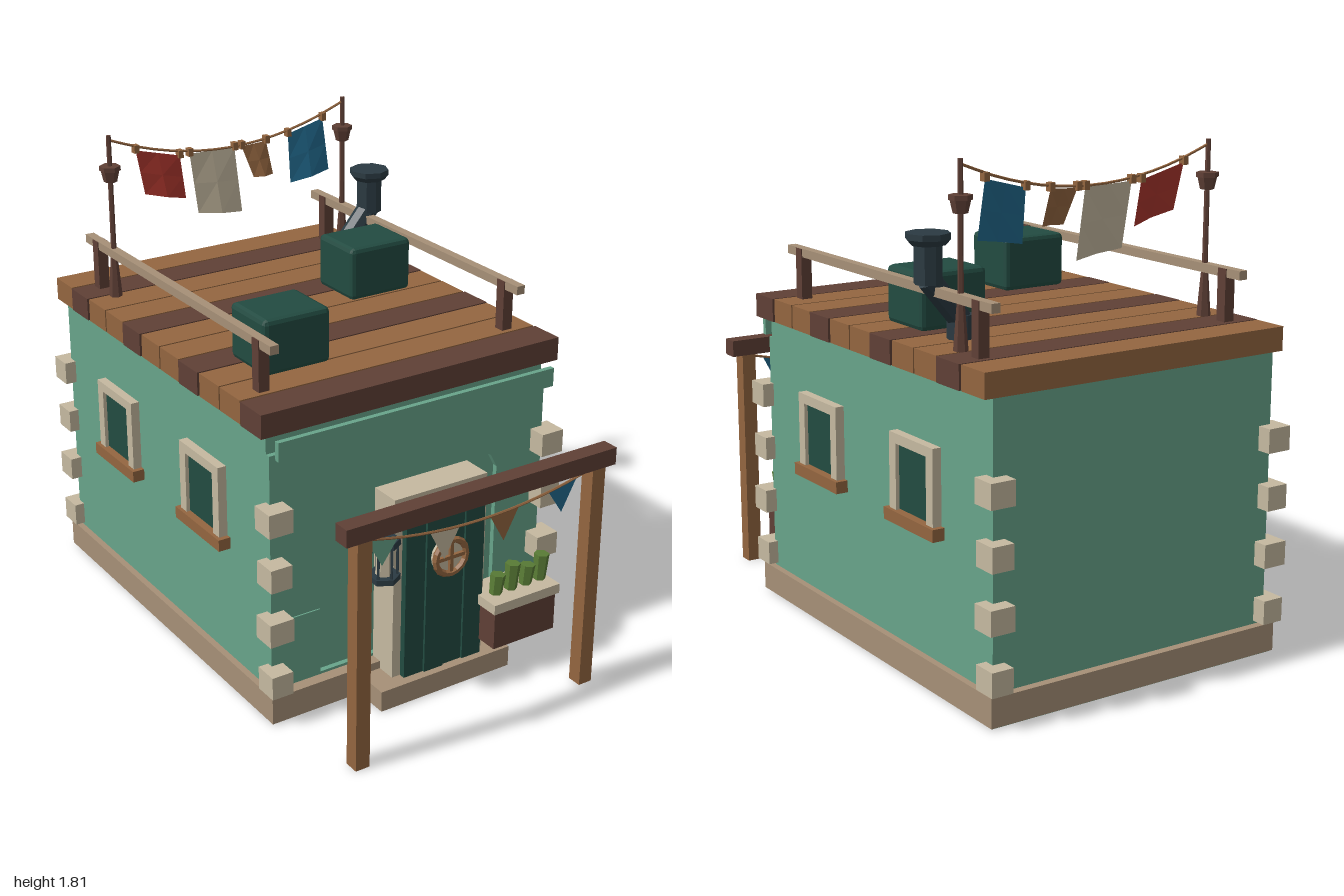
import * as THREE from 'three';
import { RoundedBoxGeometry } from 'three/addons/geometries/RoundedBoxGeometry.js';

const mat = (name, color, extra = {}) => {
  const m = new THREE.MeshStandardMaterial({ color, flatShading: true, ...extra });
  m.name = name;
  return m;
};
const two = { side: THREE.DoubleSide };

export function createModel() {
  const green = mat('wall green', 0x68a48a, two);
  const darkWood = mat('dark wood', 0x5f4036);
  const wood = mat('wood', 0x946640, two);
  const cream = mat('cream', 0xc5b9a0, two);
  const stone = mat('stone', 0xa69077);
  const pine = mat('dark green', 0x224b41);
  const iron = mat('iron', 0x2b3a42);
  const red = mat('red cloth', 0xaa362d, two);
  const blue = mat('blue cloth', 0x226a8e, two);
  const leaf = mat('leaf green', 0x5a7d36);

  const root = new THREE.Group();
  root.name = 'house';
  const add = (name, geo, m, x = 0, y = 0, z = 0) => {
    const mesh = new THREE.Mesh(geo, m);
    mesh.name = name;
    mesh.position.set(x, y, z);
    root.add(mesh);
    return mesh;
  };
  // Box given by its limits on each axis
  const box = (name, m, x0, x1, y0, y1, z0, z1) =>
    add(name, new THREE.BoxGeometry(x1 - x0, y1 - y0, z1 - z0), m, (x0 + x1) / 2, (y0 + y1) / 2, (z0 + z1) / 2);
  // Upright cylinder from y0 to y1
  const cyl = (name, m, r0, r1, y0, y1, x, z, sides = 8) =>
    add(name, new THREE.CylinderGeometry(r1, r0, y1 - y0, sides), m, x, (y0 + y1) / 2, z);
  // Cylinder between two points
  const rod = (name, m, a, b, r, sides = 8) => {
    const d = b.clone().sub(a);
    const mesh = add(name, new THREE.CylinderGeometry(r, r, d.length(), sides), m);
    mesh.position.copy(a).add(b).multiplyScalar(0.5);
    mesh.quaternion.setFromUnitVectors(new THREE.Vector3(0, 1, 0), d.normalize());
    return mesh;
  };
  const v = (x, y, z) => new THREE.Vector3(x, y, z);

  // Walls, plinth and step
  box('walls', green, -0.583, 0.583, 0.1, 1.1, -0.945, 0.55);
  box('plinth', stone, -0.608, 0.608, 0.005, 0.11, -0.975, 0.615);
  box('floorUnderside', green, -0.6, 0.6, 0, 0.006, -0.967, 0.607);
  box('doorstep', stone, -0.24, 0.327, 0, 0.08, 0.55, 0.75);

  // Front wall layer with an arched recess
  const front = new THREE.Shape();
  front.moveTo(-0.583, 0.11).lineTo(0.583, 0.11).lineTo(0.583, 1.02).lineTo(-0.583, 1.02).closePath();
  const arch = new THREE.Path();
  arch.moveTo(-0.38, 0.12).lineTo(-0.38, 0.73);
  for (let i = 1; i <= 8; i++) {
    const a = Math.PI * (1 - i / 8);
    arch.lineTo(0.38 * Math.cos(a), 0.73 + 0.14 * Math.sin(a));
  }
  arch.lineTo(0.38, 0.12).closePath();
  front.holes.push(arch);
  add('archedFront', new THREE.ExtrudeGeometry(front, { depth: 0.02, bevelEnabled: false }), green, 0, 0, 0.55);
  box('frontBand', green, -0.583, -0.385, 0.32, 0.38, 0.56, 0.575);
  box('cornice', green, -0.58, 0.58, 1.02, 1.09, 0.605, 0.625);

  // Corner stones
  for (const sx of [-1, 1]) for (const z of [0.593, -0.953]) for (let i = 0; i < 4; i++) {
    const h = i % 2 ? 0.0475 : 0.042;
    const y = 0.122 + i * 0.2105;
    box('cornerStone', cream, sx * 0.58 - h, sx * 0.58 + h, y, y + 0.088, z - 0.0465, z + 0.0465);
  }

  // Roof planks, every third one dark
  for (let i = 0; i < 11; i++) {
    const z1 = 0.59 - i * 0.141, w = 0.62 + (i % 3 === 0 ? 0.004 : 0);
    box('roofPlank', i % 3 ? wood : darkWood, -w, w, 1.1, 1.187, z1 - 0.133, z1);
  }

  // Side windows
  for (const s of [-1, 1]) for (const z of [0.143, -0.503]) {
    const side = (name, m, depth, y0, y1, hw) =>
      box(name, m, Math.min(s * 0.57, s * depth), Math.max(s * 0.57, s * depth), y0, y1, z - hw, z + hw);
    side('windowPane', pine, 0.603, 0.6, 0.832, 0.097);
    side('windowHead', cream, 0.617, 0.832, 0.868, 0.138);
    for (const e of [-1, 1]) {
      const m = box('windowJamb', cream, 0.57, 0.617, 0.59, 0.832, z + e * 0.117 - 0.021, z + e * 0.117 + 0.021);
      m.position.x *= s;
    }
    side('windowSill', wood, 0.63, 0.553, 0.597, 0.157);
  }

  // Door with frame, boards and round window
  box('doorFrame', cream, -0.155, 0.243, 0.08, 0.79, 0.57, 0.69);
  for (let i = 0; i < 4; i++) {
    const x = -0.12 + i * 0.084;
    box('doorBoard', pine, x, x + 0.082, 0.08, 0.772, 0.68, i % 2 ? 0.722 : 0.715);
  }
  const cx = 0.047, cy = 0.54;
  const pane = add('roundPane', new THREE.CylinderGeometry(0.066, 0.066, 0.025, 16), cream, cx, cy, 0.732);
  pane.rotation.x = Math.PI / 2;
  add('roundWindowRing', new THREE.TorusGeometry(0.066, 0.013, 6, 16), wood, cx, cy, 0.75);
  box('windowBar', wood, cx - 0.007, cx + 0.007, cy - 0.066, cy + 0.066, 0.74, 0.757);
  box('windowBar', wood, cx - 0.066, cx + 0.066, cy - 0.007, cy + 0.007, 0.74, 0.757);

  // Lantern
  const lx = -0.228, lz = 0.735;
  cyl('lanternBase', iron, 0.058, 0.058, 0.528, 0.549, lx, lz, 6);
  cyl('lanternTop', iron, 0.058, 0.055, 0.663, 0.685, lx, lz, 6);
  cyl('lanternGlass', cream, 0.03, 0.03, 0.549, 0.663, lx, lz, 6);
  for (let i = 0; i < 6; i++) {
    const a = (i * Math.PI) / 3;
    cyl('lanternBar', iron, 0.006, 0.006, 0.549, 0.663, lx + 0.046 * Math.sin(a), lz + 0.046 * Math.cos(a), 4);
  }

  // Planter with stubby plants
  box('planterBox', darkWood, 0.208, 0.485, 0.138, 0.287, 0.65, 0.81);
  box('planterRim', cream, 0.198, 0.496, 0.287, 0.325, 0.64, 0.82);
  [0.262, 0.33, 0.398, 0.463].forEach((x, i) => {
    const p = cyl('plant', leaf, 0.022, 0.029, 0.3, i % 2 ? 0.425 : 0.4, x, 0.745, 6);
    p.rotation.z = -0.12 + (i % 2) * 0.05;
  });

  // Porch posts, beam and bunting
  for (const s of [-1, 1]) box('porchPost', wood, s * 0.488 - 0.028, s * 0.488 + 0.028, 0, 0.866, 0.942, 0.998);
  box('porchBeam', darkWood, -0.56, 0.56, 0.866, 0.93, 0.935, 1);
  const sagLine = (name, halfW, top, low, z, r) => {
    const pts = [];
    for (let i = -4; i <= 4; i++) pts.push(v((halfW * i) / 4, low + ((top - low) * i * i) / 16, z));
    add(name, new THREE.TubeGeometry(new THREE.CatmullRomCurve3(pts), 16, r, 5), wood);
  };
  sagLine('buntingString', 0.49, 0.862, 0.795, 0.968, 0.005);
  [[-0.4, 0.74, green], [-0.148, 0.69, cream], [0.102, 0.687, wood], [0.352, 0.725, blue]].forEach(([x, tip, m]) => {
    const yAt = (px) => 0.795 + 0.067 * (px / 0.49) ** 2;
    const s = new THREE.Shape();
    s.moveTo(x - 0.062, yAt(x - 0.062)).lineTo(x, tip).lineTo(x + 0.062, yAt(x + 0.062)).closePath();
    add('buntingFlag', new THREE.ShapeGeometry(s), m, 0, 0, 0.968);
  });

  // Roof rails and line poles
  for (const s of [-1, 1]) {
    const x = s * 0.514;
    box('rail', stone, x - 0.017, x + 0.017, 1.345, 1.377, -0.858, 0.5);
    for (const z of [0.41, -0.77]) box('railPost', darkWood, x - 0.021, x + 0.021, 1.18, 1.375, z - 0.021, z + 0.021);
    cyl('linePole', darkWood, 0.011, 0.009, 1.18, 1.812, x, -0.655, 6);
    cyl('poleFoot', darkWood, 0.026, 0.012, 1.18, 1.36, x, -0.655, 6);
    cyl('poleCup', darkWood, 0.025, 0.036, 1.637, 1.685, x, -0.655, 6);
    cyl('poleCupRim', darkWood, 0.04, 0.04, 1.68, 1.697, x, -0.655, 6);
  }

  // Washing line, cloths and pegs
  sagLine('washingLine', 0.515, 1.795, 1.688, -0.655, 0.005);
  const cloths = [
    [red, [-0.405, 1.738], [-0.22, 1.69], [-0.385, 1.572], [-0.212, 1.527]],
    [cream, [-0.178, 1.69], [0.018, 1.683], [-0.16, 1.458], [0.033, 1.432]],
    [wood, [0.05, 1.683], [0.16, 1.688], [0.088, 1.56], [0.175, 1.56]],
    [blue, [0.26, 1.7], [0.42, 1.74], [0.255, 1.51], [0.433, 1.537]],
  ];
  for (const [m, tl, tr, bl, br] of cloths) {
    const g = new THREE.PlaneGeometry(1, 1, 2, 2), p = g.attributes.position;
    for (let i = 0; i < p.count; i++) {
      const u = p.getX(i) + 0.5, t = 0.5 - p.getY(i);
      const mix = (k) => (tl[k] * (1 - u) + tr[k] * u) * (1 - t) + (bl[k] * (1 - u) + br[k] * u) * t;
      p.setXYZ(i, mix(0), mix(1), -0.655 + 0.025 * t + (u === 0.5 ? 0.015 * t : 0));
    }
    g.computeVertexNormals();
    add('cloth', g, m);
    for (const [x, y] of [tl, tr])
      box('peg', wood, x - 0.01, x + 0.01, y - 0.008, y + 0.022, -0.668, -0.642);
  }

  // Roof crates
  for (const [x, z] of [[-0.316, 0.215], [0.337, -0.23]])
    add('crate', new RoundedBoxGeometry(0.268, 0.205, 0.232, 1, 0.018), pine, x, 1.287, z);

  // Bent stove pipe
  const pz = -0.492;
  cyl('pipeFoot', iron, 0.046, 0.046, 1.18, 1.27, 0.412, pz);
  rod('pipeBend', iron, v(0.412, 1.255, pz), v(0.535, 1.4, pz), 0.042);
  cyl('pipeUpper', iron, 0.049, 0.049, 1.385, 1.535, 0.535, pz);
  cyl('pipeCap', iron, 0.06, 0.077, 1.515, 1.535, 0.535, pz);
  cyl('pipeCapTop', iron, 0.077, 0.077, 1.535, 1.556, 0.535, pz);

  return root;
}
